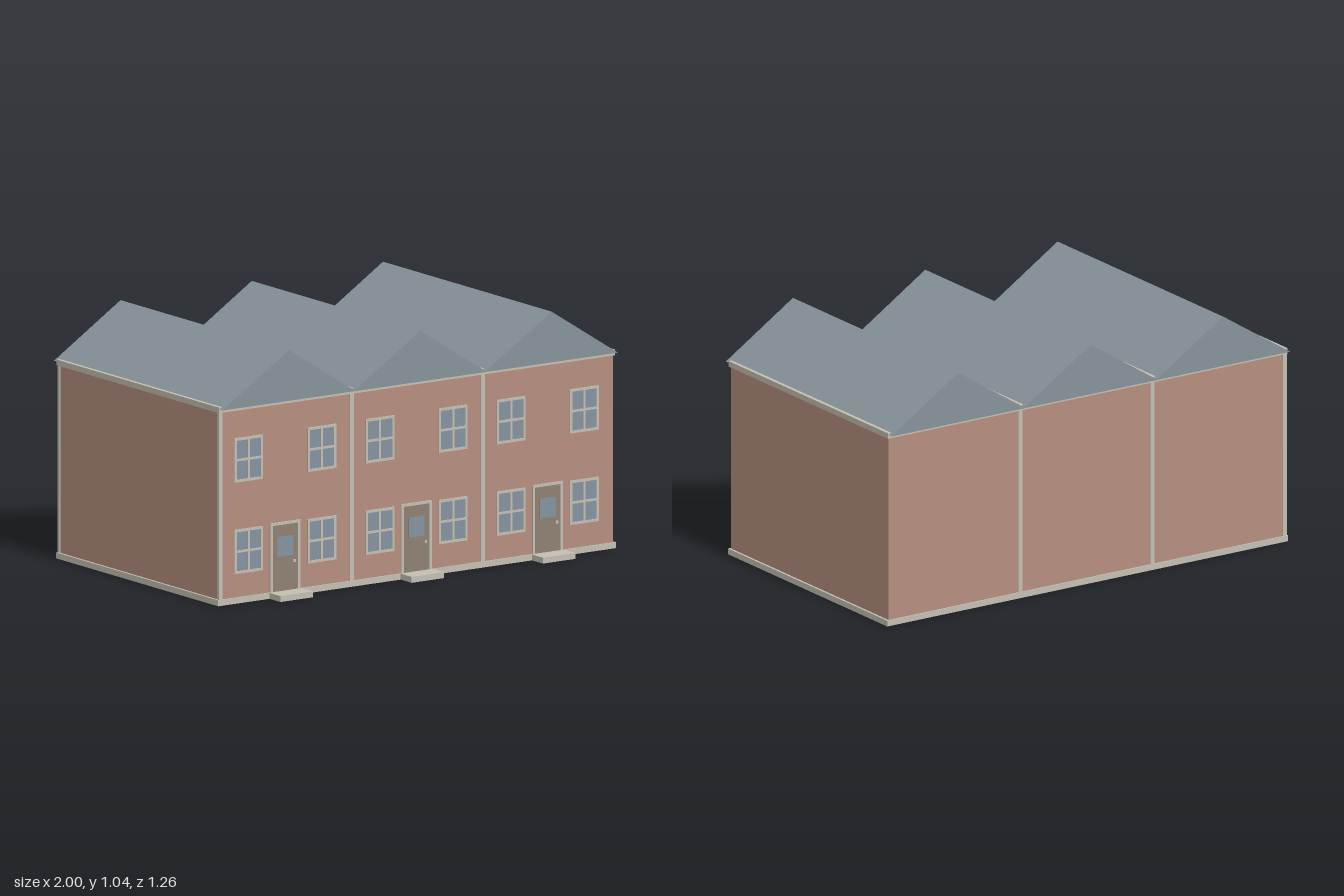
import * as THREE from 'three';

const mat = (name, color) => {
  const m = new THREE.MeshStandardMaterial({ color });
  m.name = name;
  return m;
};

export function createModel() {
  const brick = mat('brick', 0xb58f80);
  const slate = mat('slate', 0x87929a);
  const stone = mat('stone trim', 0xc3bfb2);
  const wood = mat('door wood', 0x8f8073);
  const glass = mat('window glass', 0x8492a0);

  const FRONT = 0.545, BACK = -0.602, UNIT = 0.66;
  const model = new THREE.Group();
  model.name = 'terracedHouses';

  const add = (parent, name, geometry, material) => {
    const mesh = new THREE.Mesh(geometry, material);
    mesh.name = name;
    parent.add(mesh);
    return mesh;
  };
  // box given by its extents
  const box = (parent, name, material, x0, x1, y0, y1, z0, z1) =>
    add(parent, name, new THREE.BoxGeometry(x1 - x0, y1 - y0, z1 - z0), material)
      .position.set((x0 + x1) / 2, (y0 + y1) / 2, (z0 + z1) / 2);
  const rectPath = (path, x0, x1, y0, y1) =>
    path.moveTo(x0, y0).lineTo(x1, y0).lineTo(x1, y1).lineTo(x0, y1).closePath();

  // four-pane frame with glass behind it
  const W = 0.072, H = 0.093, RIM = 0.011, BAR = 0.005;
  const frameShape = new THREE.Shape();
  rectPath(frameShape, -W, W, -H, H);
  for (const sx of [-1, 1]) for (const sy of [-1, 1]) {
    const hole = new THREE.Path();
    rectPath(hole, sx * BAR, sx * (W - RIM), sy * BAR, sy * (H - RIM));
    frameShape.holes.push(hole);
  }
  const frameGeometry = new THREE.ExtrudeGeometry(frameShape, { depth: 0.005, bevelEnabled: false });
  const addWindow = (parent, x, y) => {
    const win = new THREE.Group();
    win.name = 'window';
    win.position.set(x, y, FRONT);
    add(win, 'windowFrame', frameGeometry, stone);
    box(win, 'windowGlass', glass, -W + 0.005, W - 0.005, -H + 0.005, H - 0.005, -0.002, 0.002);
    parent.add(win);
  };

  // gabled roof prism
  const gable = new THREE.Shape();
  gable.moveTo(-0.335, 0.827).lineTo(0.335, 0.827).lineTo(0, 1.041).closePath();
  const roofGeometry = new THREE.ExtrudeGeometry(gable, { depth: 1.205, bevelEnabled: false });

  // shared base, walls and cornice
  box(model, 'plinth', stone, -1, 1, 0, 0.025, -0.608, 0.552);
  box(model, 'walls', brick, -0.99, 0.99, 0.025, 0.815, BACK, FRONT);
  box(model, 'cornice', stone, -0.997, 0.997, 0.812, 0.836, -0.608, 0.552);

  for (const i of [-1, 0, 1]) {
    const house = new THREE.Group();
    house.name = 'house';
    house.position.x = i * UNIT;
    model.add(house);

    add(house, 'roof', roofGeometry, slate).position.z = -0.63;

    // pilaster strips on the left-hand boundary, front and back
    box(house, 'frontStrip', stone, -0.335, -0.315, 0.025, 0.813, FRONT - 0.01, FRONT + 0.004);
    box(house, 'backStrip', stone, -0.335, -0.315, 0.025, 0.813, BACK - 0.004, BACK + 0.01);

    for (const x of [-0.184, 0.184]) for (const y of [0.217, 0.602]) addWindow(house, x, y);

    // door with surround, small window, knob and step
    for (const s of [-1, 1])
      box(house, 'doorJamb', stone, s < 0 ? -0.076 : 0.064, s < 0 ? -0.064 : 0.076, 0.025, 0.315, FRONT - 0.002, FRONT + 0.005);
    box(house, 'doorLintel', stone, -0.064, 0.064, 0.303, 0.315, FRONT - 0.002, FRONT + 0.005);
    box(house, 'door', wood, -0.064, 0.064, 0.025, 0.303, FRONT - 0.002, FRONT + 0.003);
    box(house, 'doorGlass', glass, -0.04, 0.04, 0.17, 0.253, FRONT, FRONT + 0.005);
    box(house, 'doorKnob', stone, 0.039, 0.051, 0.139, 0.151, FRONT, FRONT + 0.007);
    box(house, 'doorStep', stone, -0.082, 0.082, 0, 0.025, FRONT, 0.63);
  }
  return model;
}
